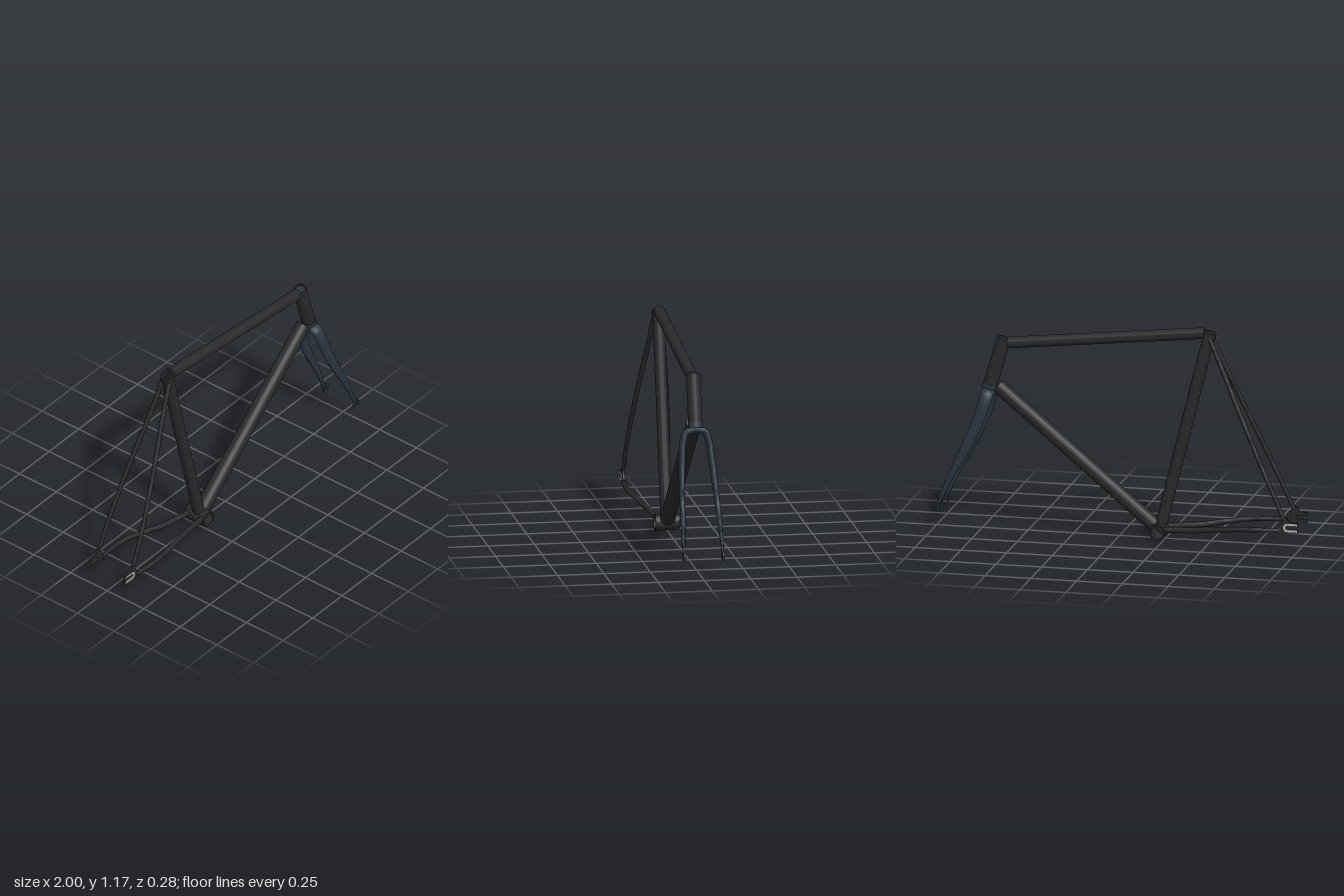
import * as THREE from 'three';
import { toCreasedNormals } from 'three/addons/utils/BufferGeometryUtils.js';

const frameMat = new THREE.MeshStandardMaterial({ color: 0x2a2a2c });
const forkMat = new THREE.MeshStandardMaterial({ color: 0x2b3641 });
const silverMat = new THREE.MeshStandardMaterial({ color: 0xb4b4b8 });
const V = (p) => new THREE.Vector3(...p);
const UP = new THREE.Vector3(0, 1, 0);

function add(parent, name, geometry, material) {
  const mesh = new THREE.Mesh(geometry, material);
  mesh.name = name;
  parent.add(mesh);
  return mesh;
}

// Hollow straight tube between two points
function tube(parent, name, a, b, outer, inner, material = frameMat) {
  const start = V(a), dir = V(b).sub(start), len = dir.length();
  const profile = [[inner, 0], [outer, 0], [outer, len], [inner, len], [inner, 0]]
    .map(([r, y]) => new THREE.Vector2(r, y));
  const mesh = add(parent, name, toCreasedNormals(new THREE.LatheGeometry(profile, 40), 0.6), material);
  mesh.quaternion.setFromUnitVectors(UP, dir.normalize());
  mesh.position.copy(start);
  return mesh;
}

// Curved tapering tube of elliptical section; each row is [x, y, z, radius along ref, radius across]
function sweep(rows, ref, steps = 64, sides = 20) {
  const curve = new THREE.CatmullRomCurve3(rows.map((r) => V(r.slice(0, 3))));
  const pos = [], index = [];
  const ring = (c, u, v, a, b) => {
    for (let j = 0; j <= sides; j++) {
      const t = (j / sides) * Math.PI * 2;
      const p = c.clone().addScaledVector(u, a * Math.cos(t)).addScaledVector(v, b * Math.sin(t));
      pos.push(p.x, p.y, p.z);
    }
  };
  for (let i = -1; i <= steps + 1; i++) {
    const t = THREE.MathUtils.clamp(i / steps, 0, 1);
    const f = t * (rows.length - 1), k = Math.min(Math.floor(f), rows.length - 2);
    const radius = (n) => THREE.MathUtils.lerp(rows[k][n], rows[k + 1][n], f - k);
    const T = curve.getTangent(t);
    const u = ref.clone().addScaledVector(T, -ref.dot(T)).normalize();
    const v = new THREE.Vector3().crossVectors(T, u);
    const s = i < 0 || i > steps ? 0 : 1; // collapsed rings close the ends
    ring(curve.getPoint(t), u, v, radius(3) * s, radius(4) * s);
  }
  const w = sides + 1;
  for (let i = 0; i < steps + 2; i++) {
    for (let j = 0; j < sides; j++) {
      const a = i * w + j, b = a + w;
      index.push(a, a + 1, b, b, a + 1, b + 1);
    }
  }
  const g = new THREE.BufferGeometry();
  g.setAttribute('position', new THREE.Float32BufferAttribute(pos, 3));
  g.setIndex(index);
  return toCreasedNormals(g, 0.8);
}

// U-shaped fork end, open toward -x
function uShape(w, W, L) {
  const s = new THREE.Shape();
  s.moveTo(-L, W);
  s.lineTo(0, W);
  s.absarc(0, 0, W, Math.PI / 2, -Math.PI / 2, true);
  s.lineTo(-L, -W);
  s.lineTo(-L, -w);
  s.lineTo(0, -w);
  s.absarc(0, 0, w, -Math.PI / 2, Math.PI / 2, false);
  s.lineTo(-L, w);
  return s;
}

function plate(shape, depth) {
  const g = new THREE.ExtrudeGeometry(shape, { depth, bevelEnabled: false, curveSegments: 16 });
  return g.translate(0, 0, -depth / 2);
}

function rearDropoutShape() {
  const s = new THREE.Shape();
  s.moveTo(-1, 0.157);
  s.lineTo(-0.965, 0.157);
  s.quadraticCurveTo(-0.948, 0.16, -0.94, 0.185);
  s.lineTo(-0.914, 0.18);
  s.quadraticCurveTo(-0.91, 0.135, -0.885, 0.122);
  s.lineTo(-0.885, 0.095);
  s.lineTo(-1, 0.1);
  s.lineTo(-1, 0.118);
  s.lineTo(-0.945, 0.118);
  s.absarc(-0.945, 0.128, 0.01, -Math.PI / 2, Math.PI / 2, false);
  s.lineTo(-1, 0.138);
  return s;
}

export function createModel() {
  const model = new THREE.Group();
  model.name = 'bicycleFrame';

  // Main triangle
  const frame = new THREE.Group();
  frame.name = 'frame';
  model.add(frame);
  tube(frame, 'bottomBracketShell', [-0.22, 0.044, -0.065], [-0.22, 0.044, 0.065], 0.044, 0.035);
  tube(frame, 'seatTube', [-0.229, 0.082, 0], [-0.492, 1.14, 0], 0.032, 0.026);
  tube(frame, 'seatCollar', [-0.486, 1.118, 0], [-0.4925, 1.143, 0], 0.037, 0.026);
  tube(frame, 'topTube', [-0.465, 1.138, 0], [0.608, 1.023, 0], 0.031, 0);
  tube(frame, 'downTube', [-0.19, 0.07, 0], [0.664, 0.784, 0], 0.04, 0);
  tube(frame, 'headTube', [0.704, 0.795, 0], [0.632, 1.047, 0], 0.038, 0.029);

  // Rear stays and dropouts on both sides
  const zAxis = new THREE.Vector3(0, 0, 1);
  for (const s of [1, -1]) {
    const side = s > 0 ? 'Front' : 'Back';
    add(frame, 'seatStay' + side, sweep([
      [-0.492, 1.122, 0.02 * s, 0.013, 0.013],
      [-0.597, 0.89, 0.045 * s, 0.013, 0.013],
      [-0.651, 0.77, 0.063 * s, 0.013, 0.013],
      [-0.829, 0.38, 0.107 * s, 0.012, 0.012],
      [-0.926, 0.168, 0.117 * s, 0.01, 0.011],
    ], zAxis), frameMat);
    add(frame, 'chainStay' + side, sweep([
      [-0.25, 0.056, 0.047 * s, 0.014, 0.016],
      [-0.32, 0.061, 0.052 * s, 0.014, 0.016],
      [-0.42, 0.068, 0.064 * s, 0.014, 0.016],
      [-0.55, 0.086, 0.093 * s, 0.014, 0.015],
      [-0.67, 0.101, 0.117 * s, 0.014, 0.014],
      [-0.78, 0.107, 0.126 * s, 0.013, 0.013],
      [-0.9, 0.109, 0.118 * s, 0.01, 0.012],
    ], zAxis), frameMat);
    add(frame, 'rearDropout' + side, plate(rearDropoutShape(), 0.012), frameMat)
      .position.z = 0.118 * s;
    add(frame, 'dropoutFace' + side, plate(uShape(0.01, 0.023, 0.053), 0.003), silverMat)
      .position.set(-0.945, 0.128, 0.1255 * s);
  }

  // Fork: steerer, crown race, and both blades as one arched sweep
  const fork = new THREE.Group();
  fork.name = 'fork';
  model.add(fork);
  tube(fork, 'steerer', [0.712, 0.765, 0], [0.635, 1.038, 0], 0.028, 0, forkMat);
  tube(fork, 'crownRace', [0.712, 0.767, 0], [0.704, 0.796, 0], 0.04, 0, forkMat);
  const blade = [
    [0.966, 0.145, 0.105, 0.009, 0.007],
    [0.9, 0.297, 0.099, 0.018, 0.013],
    [0.813, 0.468, 0.09, 0.028, 0.016],
    [0.757, 0.6, 0.08, 0.032, 0.018],
    [0.724, 0.7, 0.069, 0.034, 0.019],
    [0.713, 0.744, 0.051, 0.035, 0.02],
    [0.71, 0.756, 0.018, 0.037, 0.02],
  ];
  const mirrored = blade.map(([x, y, z, a, b]) => [x, y, -z, a, b]).reverse();
  add(fork, 'forkBlades', sweep([...blade, ...mirrored], new THREE.Vector3(0.96, 0.27, 0), 112, 24), forkMat);
  for (const s of [1, -1]) {
    const tip = add(fork, 'forkEnd' + (s > 0 ? 'Front' : 'Back'), plate(uShape(0.011, 0.021, 0.025), 0.011), forkMat);
    tip.position.set(0.979, 0.128, 0.105 * s);
    tip.rotation.z = Math.PI / 2;
  }
  return model;
}
